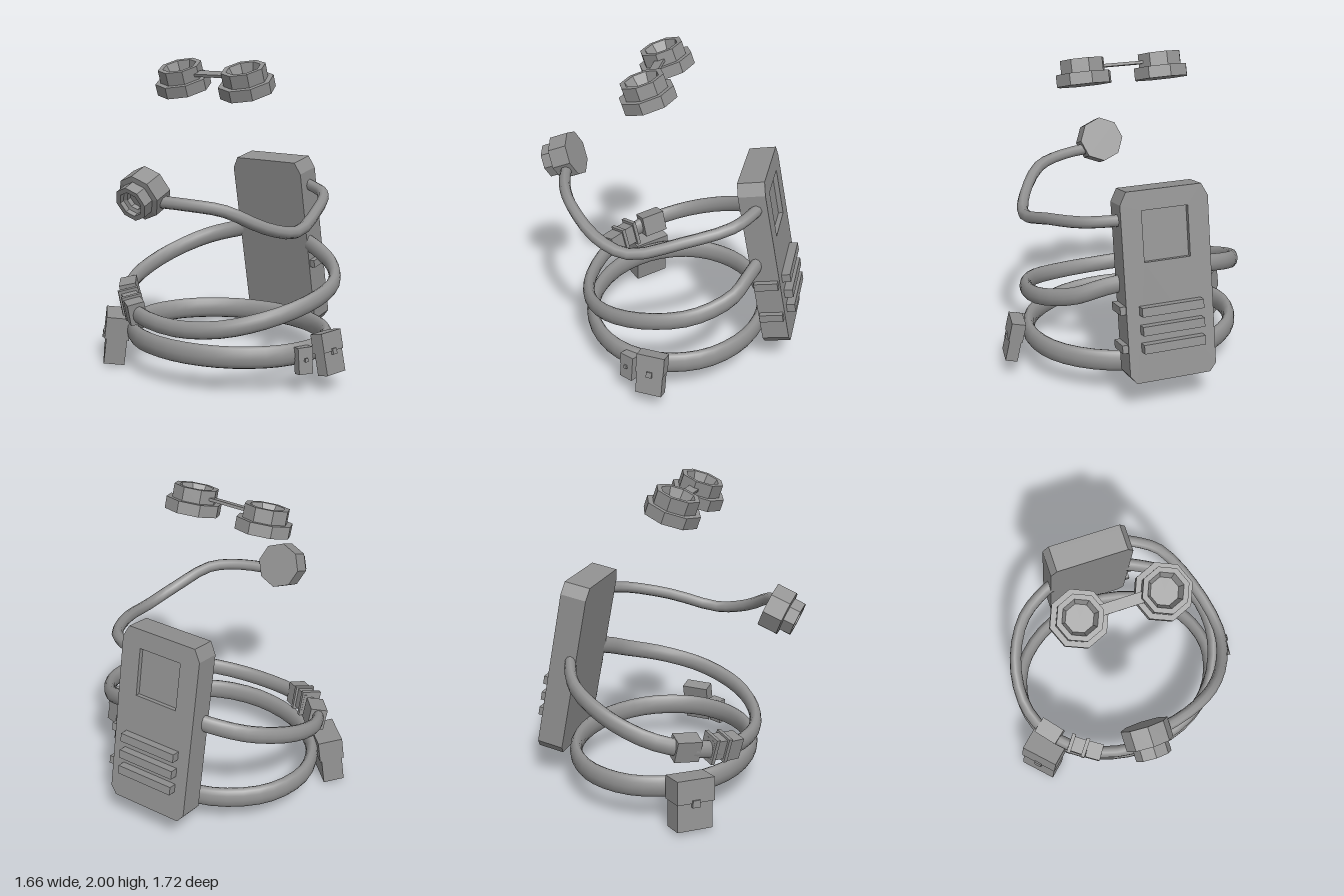
import * as THREE from 'three';

const grey = new THREE.MeshStandardMaterial({ color: 0x919191 });
grey.name = 'plain grey';

const V = (x, y, z) => new THREE.Vector3(x, y, z);

function add(parent, name, geometry, x = 0, y = 0, z = 0) {
  const mesh = new THREE.Mesh(geometry, grey);
  mesh.name = name;
  mesh.position.set(x, y, z);
  parent.add(mesh);
  return mesh;
}

const box = (w, h, d) => new THREE.BoxGeometry(w, h, d);

// Turned part with eight flat sides
function turned(profile) {
  const g = new THREE.LatheGeometry(profile.map(p => new THREE.Vector2(...p)), 8).toNonIndexed();
  g.computeVertexNormals();
  return g;
}

// Oval band swept along a curve: w is the half thickness, h the half height
function band(curve, steps, w, h, sides = 12) {
  const closed = curve.closed;
  const rings = closed ? steps : steps + 1;
  const pos = [], idx = [];
  for (let i = 0; i < rings; i++) {
    const p = curve.getPoint(i / steps);
    const t = curve.getTangent(i / steps);
    const s = V(t.z, 0, -t.x).normalize();
    const u = t.clone().cross(s);
    for (let j = 0; j < sides; j++) {
      const a = (j / sides) * Math.PI * 2;
      const q = p.clone().addScaledVector(s, Math.cos(a) * w).addScaledVector(u, Math.sin(a) * h);
      pos.push(q.x, q.y, q.z);
    }
  }
  for (let i = 0; i < steps; i++) {
    for (let j = 0; j < sides; j++) {
      const n = ((i + 1) % rings) * sides, k = (j + 1) % sides;
      const a = i * sides + j, b = i * sides + k;
      idx.push(a, b, n + j, b, n + k, n + j);
    }
  }
  const g = new THREE.BufferGeometry();
  g.setAttribute('position', new THREE.Float32BufferAttribute(pos, 3));
  g.setIndex(idx);
  g.computeVertexNormals();
  return g;
}

// Pouch whose face looks along its own +z, with flap and latch
function pouch(name, w, h, d, position, yaw, tilt, roll = 0) {
  const g = new THREE.Group();
  g.name = name;
  add(g, 'pouchBody', box(w * 0.94, h * 0.97, d * 0.85), 0, -h * 0.015, 0);
  add(g, 'pouchFlap', box(w, h * 0.46, d), 0, h * 0.27, 0);
  add(g, 'pouchLatch', box(w * 0.2, h * 0.14, 0.02), 0, h * 0.03, d / 2);
  g.position.set(...position);
  g.rotation.set(tilt, yaw, roll, 'YXZ');
  return g;
}

function backUnit() {
  const g = new THREE.Group();
  g.name = 'backUnit';
  const outline = () => new THREE.Shape([
    [-0.235, -0.58], [0.235, -0.58], [0.275, -0.53], [0.275, 0.505],
    [0.235, 0.58], [-0.235, 0.58], [-0.275, 0.505], [-0.275, -0.53],
  ].map(p => new THREE.Vector2(...p)));
  const extrude = (shape, depth) => new THREE.ExtrudeGeometry(shape, { depth, bevelEnabled: false });
  add(g, 'case', extrude(outline(), 0.14), 0, 0, -0.055);
  // Back plate with a sunken window
  const plate = outline();
  plate.holes.push(new THREE.Path([
    [-0.145, 0.15], [-0.145, 0.46], [0.145, 0.46], [0.145, 0.15],
  ].map(p => new THREE.Vector2(...p))));
  add(g, 'backPlate', extrude(plate, 0.03), 0, 0, -0.085);
  for (const y of [-0.135, -0.25, -0.36]) add(g, 'backRib', box(0.39, 0.055, 0.07), 0, y, -0.105);
  for (const y of [-0.125, -0.36]) add(g, 'sideClip', box(0.05, 0.05, 0.15), 0.285, y, 0);
  g.position.set(-0.045, 0.77, -0.648);
  g.rotation.x = 0.187;
  return g;
}

function goggles() {
  const g = new THREE.Group();
  g.name = 'goggles';
  const profile = [[0, -0.037], [0.175, -0.037], [0.175, 0.037], [0.14, 0.037],
    [0.14, 0.121], [0.108, 0.121], [0.085, 0.06], [0, 0.06]];
  for (const x of [-0.2525, 0.2525]) add(g, 'goggleCup', turned(profile), x, 0, 0);
  add(g, 'goggleBridge', box(0.26, 0.018, 0.065), 0, 0.07, -0.005);
  g.position.set(-0.043, 1.85, 0.085);
  g.rotation.x = 0.326;
  return g;
}

export function createModel() {
  const model = new THREE.Group();
  model.name = 'harness';
  model.add(backUnit(), goggles());

  // Waist belt
  const loop = [];
  for (let i = 0; i < 12; i++) {
    const a = (i / 12) * Math.PI * 2;
    loop.push(V(-0.04 + 0.67 * Math.sin(a), 0.243, -0.05 + 0.565 * Math.cos(a)));
  }
  add(model, 'waistBelt', band(new THREE.CatmullRomCurve3(loop, true), 40, 0.04, 0.07));

  // Slanted strap with both ends set into the back unit
  const strap = new THREE.CatmullRomCurve3([
    V(-0.22, 0.84, -0.61), V(-0.36, 0.81, -0.57), V(-0.55, 0.75, -0.45), V(-0.69, 0.65, -0.2),
    V(-0.71, 0.55, 0.08), V(-0.6, 0.48, 0.31), V(-0.35, 0.42, 0.49), V(0, 0.395, 0.54),
    V(0.3, 0.42, 0.46), V(0.52, 0.48, 0.28), V(0.64, 0.55, 0.0), V(0.62, 0.61, -0.28),
    V(0.47, 0.68, -0.49), V(0.3, 0.75, -0.57), V(0.15, 0.79, -0.62),
  ]);
  add(model, 'slantedStrap', band(strap, 44, 0.038, 0.056));

  // Buckle and adjuster blocks on the strap: position, size, yaw
  const blocks = [
    ['strapAdjuster', -0.61, 0.49, 0.27, 0.16, 0.14, 0.11, -0.9],
    ['buckleEnd', -0.47, 0.455, 0.41, 0.1, 0.13, 0.1, -0.66],
    ['buckleRidge', -0.5, 0.46, 0.39, 0.025, 0.17, 0.13, -0.66],
    ['buckleRidge', -0.42, 0.445, 0.445, 0.025, 0.16, 0.13, -0.66],
    ['buckleEnd', -0.37, 0.43, 0.48, 0.1, 0.14, 0.11, -0.6],
  ];
  for (const [name, x, y, z, w, h, d, yaw] of blocks) {
    const m = add(model, name, box(w, h, d), x, y, z);
    m.rotation.set(0.2, yaw, -0.12, 'YXZ');
  }

  // Belt pouches
  model.add(
    pouch('rightPouch', 0.25, 0.32, 0.16, [-0.69, 0.18, 0.325], -0.8, -0.12, -0.06),
    pouch('leftPouch', 0.18, 0.26, 0.09, [0.743, 0.24, -0.05], 1.45, -0.22),
    pouch('leftSmallPouch', 0.1, 0.165, 0.07, [0.665, 0.215, 0.11], 1.1, -0.12),
  );

  // Bent arm carrying the lamp
  const arm = new THREE.CatmullRomCurve3([
    V(0.16, 1.18, -0.61), V(0.26, 1.165, -0.57), V(0.41, 1.14, -0.47), V(0.54, 1.08, -0.2),
    V(0.605, 1.0, 0.12), V(0.54, 1.05, 0.34), V(0.39, 1.16, 0.53), V(0.2, 1.19, 0.63),
    V(-0.06, 1.2, 0.69),
  ]);
  add(model, 'lampArm', band(arm, 24, 0.036, 0.038, 8));

  // Lamp head, aimed forward and down
  const lamp = add(model, 'lampHead', turned([
    [0, 0], [0.148, 0], [0.148, 0.125], [0.112, 0.13], [0.112, 0.2], [0.08, 0.2],
    [0.08, 0.17], [0.058, 0.16], [0.058, 0.13], [0, 0.13],
  ]), -0.087, 1.268, 0.635);
  lamp.rotation.x = 1.97;

  return model;
}
